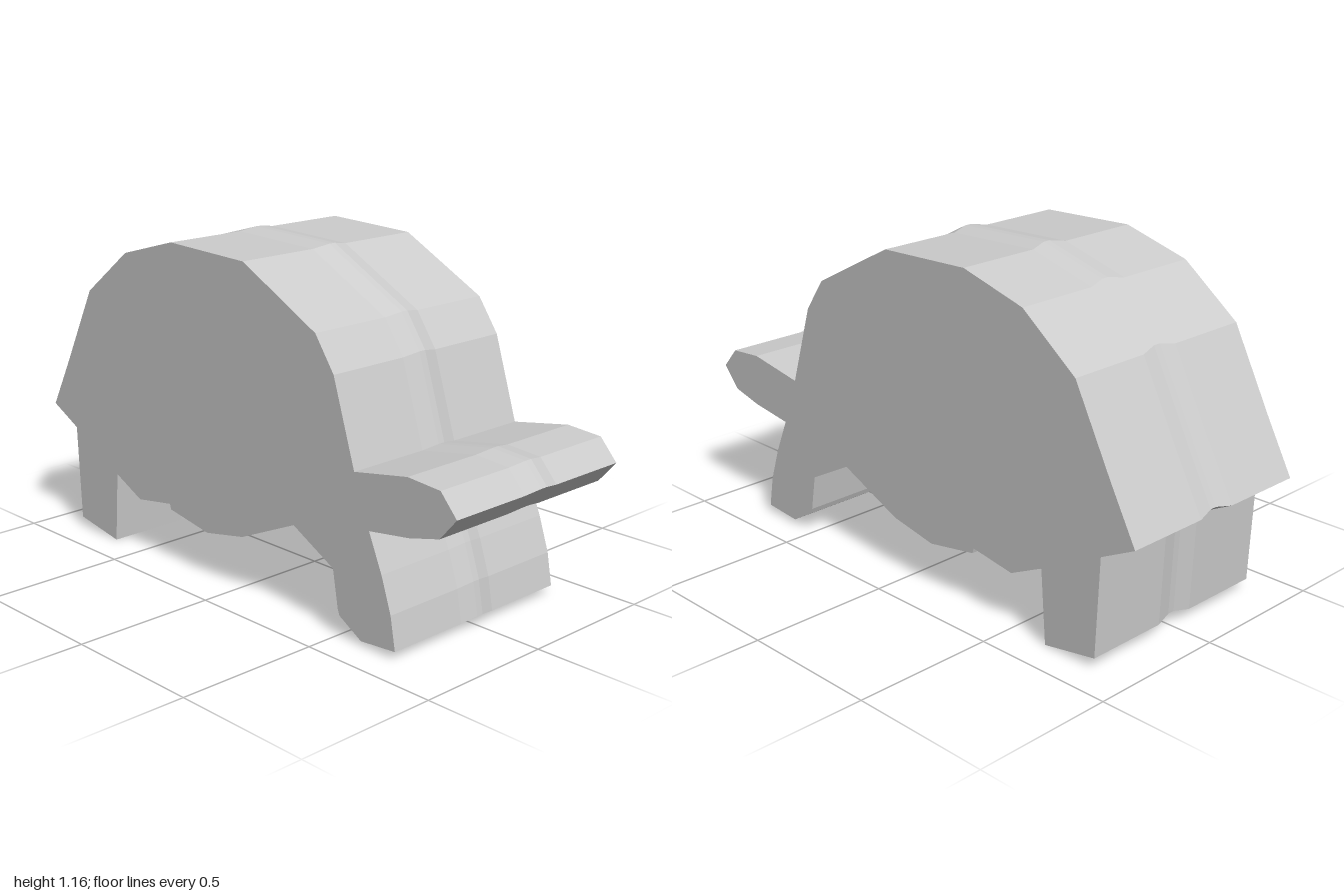
import * as THREE from 'three';

// Side silhouette of the tortoise: shell, head, front leg, belly, back leg
const shell = [[-1, 0.445], [-0.9, 0.63], [-0.755, 0.91], [-0.54, 1.075], [-0.29, 1.145],
  [0.07, 1.133], [0.4, 0.96], [0.48, 0.845], [0.57, 0.56]];
const head = [[0.79, 0.598], [0.92, 0.588], [0.985, 0.515], [0.92, 0.44], [0.8, 0.41], [0.635, 0.387]];
const frontLeg = [[0.69, 0.26], [0.73, 0.14], [0.75, 0.027], [0.605, 0.015], [0.51, 0.07], [0.502, 0.09], [0.48, 0.22]];
const belly = [[0.3, 0.315], [0.05, 0.205], [-0.13, 0.17], [-0.325, 0.203], [-0.33, 0.222], [-0.5, 0.195], [-0.63, 0.257]];
const backLeg = [[-0.65, 0], [-0.855, 0.035], [-0.87, 0.38]];

// Depths of the cross-sections; the inner pair carries the shifted centre seam
const depths = [-0.378, -0.075, -0.013, 0.013, 0.075, 0.378];

export function createModel() {
  const group = new THREE.Group();
  group.name = 'tortoise';

  const outline = [...shell, ...head, ...frontLeg, ...belly, ...backLeg]
    .map(([x, y]) => new THREE.Vector2(x, y));
  const geometry = new THREE.ExtrudeGeometry(new THREE.Shape(outline), {
    depth: 5, steps: 5, bevelEnabled: false,
  });

  // Place the sections in depth and push the centre seam up and forward
  const pos = geometry.attributes.position;
  for (let i = 0; i < pos.count; i++) {
    const x = pos.getX(i), y = pos.getY(i), step = Math.round(pos.getZ(i));
    const seam = step === 2 || step === 3;
    // the seam bulges backward behind the front leg
    const behindLeg = x > 0.45 && x < 0.508 && y < 0.25;
    const dx = seam ? (behindLeg ? -0.014 : 0.013) : 0;
    pos.setXYZ(i, x + dx, y + (seam ? 0.011 : 0), depths[step]);
  }
  geometry.computeVertexNormals();

  const body = new THREE.Mesh(geometry, new THREE.MeshStandardMaterial({ color: 0xcccccc, flatShading: true }));
  body.name = 'tortoiseBody';
  group.add(body);
  return group;
}
